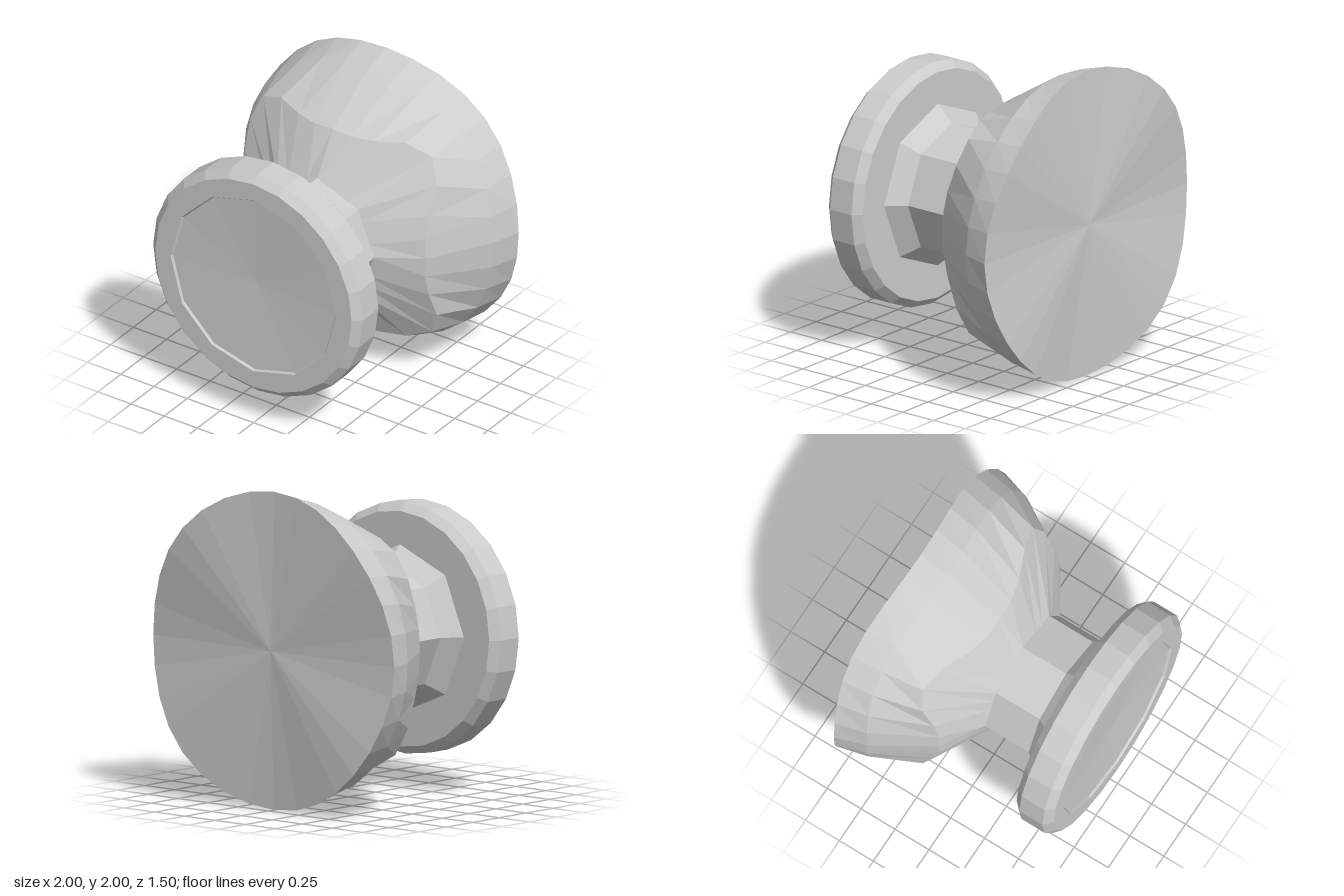
import * as THREE from 'three';

const material = new THREE.MeshStandardMaterial({ color: 0xcccccc, flatShading: true });

// Radius of a regular polygon at angle t, with a corner at t = 0
function polygonRadius(r, sides, t) {
  const step = (2 * Math.PI) / sides;
  const local = ((t % step) + step) % step;
  return (r * Math.cos(step / 2)) / Math.cos(local - step / 2);
}

// Ring helpers: each returns t => [radius, z]
const circle = (r, z) => () => [r, z];
const polygon = (r, z, sides) => t => [polygonRadius(r, sides, t), z];
// Ring that blends from its value on the axes to its value on the diagonals
const wavy = (r0, z0, r1, z1, power = 1) => t => {
  const k = Math.pow(Math.sin(2 * t) ** 2, power);
  return [r0 + (r1 - r0) * k, z0 + (z1 - z0) * k];
};

// Skins rings that run from front to back around the z axis
function loft(name, segments, rings) {
  const points = rings.map(ring => Array.from({ length: segments }, (_, j) => {
    const t = (j / segments) * Math.PI * 2;
    const [r, z] = ring(t);
    return new THREE.Vector3(r * Math.cos(t), r * Math.sin(t), z);
  }));
  const corners = [];
  const triangle = (a, b, c) => {
    const same = (p, q) => p.distanceToSquared(q) < 1e-10;
    if (!same(a, b) && !same(b, c) && !same(c, a)) corners.push(a, b, c);
  };
  for (let i = 0; i < rings.length - 1; i++) {
    for (let j = 0; j < segments; j++) {
      const k = (j + 1) % segments;
      const [a, b, c, d] = [points[i][j], points[i][k], points[i + 1][j], points[i + 1][k]];
      triangle(a, c, b);
      triangle(b, c, d);
    }
  }
  const geometry = new THREE.BufferGeometry().setFromPoints(corners);
  geometry.computeVertexNormals();
  const mesh = new THREE.Mesh(geometry, material);
  mesh.name = name;
  return mesh;
}

export function createModel() {
  const model = new THREE.Group();
  model.name = 'knob';

  // Chamfered front disc with a shallow faceted dish in its face
  const frontDisc = loft('frontDisc', 24, [
    circle(0, 0.71),
    polygon(0.615, 0.735, 12),
    polygon(0.625, 0.75, 12),
    circle(0.74, 0.75),
    circle(0.79, 0.70),
    circle(0.79, 0.53),
    circle(0.74, 0.48),
    circle(0, 0.48),
  ]);

  // Octagonal neck flaring into the disc
  const neck = loft('neck', 8, [
    circle(0.53, 0.48),
    circle(0.43, 0.37),
    circle(0.43, 0.05),
  ]);

  // Bowl that grows from the octagon to a round, gently waved rim and back face
  const bowl = loft('bowl', 32, [
    polygon(0.43, 0.05, 8),
    wavy(0.70, -0.12, 0.90, -0.28, 2),
    wavy(0.935, -0.50, 0.97, -0.55),
    wavy(1, -0.70, 1, -0.755),
    circle(0, -0.73),
  ]);

  model.add(frontDisc, neck, bowl);
  model.children.forEach(part => { part.position.y = 1; });
  return model;
}
